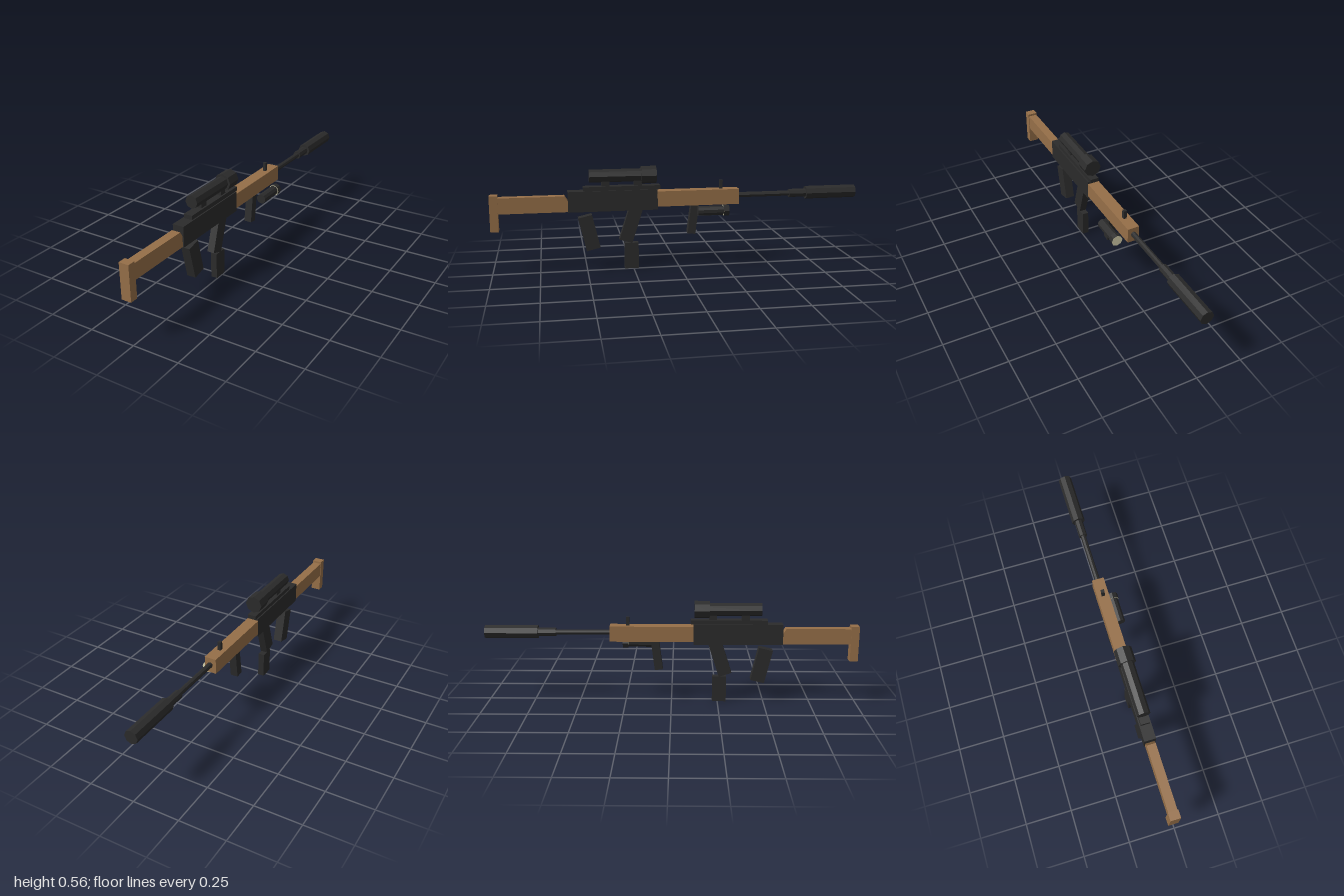
import * as THREE from 'three';

const wood = new THREE.MeshStandardMaterial({ name: 'wood', color: 0x966f48 });
const metal = new THREE.MeshStandardMaterial({ name: 'darkMetal', color: 0x2b2b2b });
const lens = new THREE.MeshStandardMaterial({ name: 'lampLens', color: 0xd9d4b0 });

const CX = -0.021; // centre line of the body

export function createModel() {
  const model = new THREE.Group();
  model.name = 'rifle';

  const add = (name, geometry, material) => {
    const mesh = new THREE.Mesh(geometry, material);
    mesh.name = name;
    model.add(mesh);
    return mesh;
  };

  // Box on the centre line, given by its y and z limits
  const box = (name, width, y0, y1, z0, z1, material) =>
    add(name, new THREE.BoxGeometry(width, y1 - y0, z1 - z0), material)
      .position.set(CX, (y0 + y1) / 2, (z0 + z1) / 2);

  // Box leaning forwards or backwards about its centre
  const leaningBox = (name, width, height, depth, y, z, angle) => {
    const mesh = add(name, new THREE.BoxGeometry(width, height, depth), metal);
    mesh.position.set(CX, y, z);
    mesh.rotation.x = angle;
  };

  // Faceted cylinder lying along z
  const tube = (name, radius, x, y, z0, z1, material = metal, sides = 8) => {
    const geometry = new THREE.CylinderGeometry(radius, radius, z1 - z0, sides)
      .toNonIndexed().rotateX(Math.PI / 2);
    geometry.computeVertexNormals(); // flat facets
    add(name, geometry, material).position.set(x, y, (z0 + z1) / 2);
  };

  // Stock with a sloped step where it meets the receiver
  const side = new THREE.Shape([
    [-0.96, 0.326], [-0.59, 0.326], [-0.59, 0.375], [-0.612, 0.411], [-0.96, 0.411],
  ].map(([a, b]) => new THREE.Vector2(a, b)));
  const stock = new THREE.ExtrudeGeometry(side, { depth: 0.048, bevelEnabled: false })
    .translate(0, 0, -0.024).rotateY(Math.PI / 2);
  add('stock', stock, wood).position.x = CX;
  box('buttPlate', 0.054, 0.232, 0.423, 0.957, 1, wood);

  // Body
  box('receiver', 0.062, 0.324, 0.434, 0.118, 0.595, metal);
  box('handguard', 0.064, 0.34, 0.423, -0.33, 0.118, wood);
  box('topRail', 0.048, 0.434, 0.456, 0.103, 0.513, metal);
  box('frontSight', 0.017, 0.42, 0.47, -0.243, -0.225, metal);

  // Barrel and muzzle
  tube('barrel', 0.0145, CX, 0.385, -0.63, -0.32);
  tube('barrelCollar', 0.023, CX, 0.385, -0.72, -0.62);
  tube('suppressor', 0.036, CX, 0.386, -1, -0.715);

  // Scope on two mounts
  tube('scopeTube', 0.035, CX, 0.511, 0.126, 0.481);
  tube('scopeBell', 0.047, CX, 0.511, 0.123, 0.204);
  for (const z of [0.395, 0.222]) box('scopeMount', 0.03, 0.45, 0.49, z - 0.021, z + 0.021, metal);

  // Grips and magazine
  leaningBox('pistolGrip', 0.05, 0.186, 0.076, 0.207, 0.486, 0.23);
  leaningBox('foregrip', 0.042, 0.17, 0.043, 0.265, -0.079, -0.125);
  leaningBox('magazineWell', 0.04, 0.22, 0.072, 0.257, 0.257, -0.31);
  box('magazine', 0.035, 0, 0.142, 0.222, 0.297, metal);

  // Side lamp: dark barrel, head with pale end faces
  tube('lampBody', 0.0265, 0.036, 0.314, -0.24, -0.096, metal, 10);
  tube('lampHead', 0.031, 0.036, 0.314, -0.265, -0.235, [metal, lens, lens]);

  return model;
}
